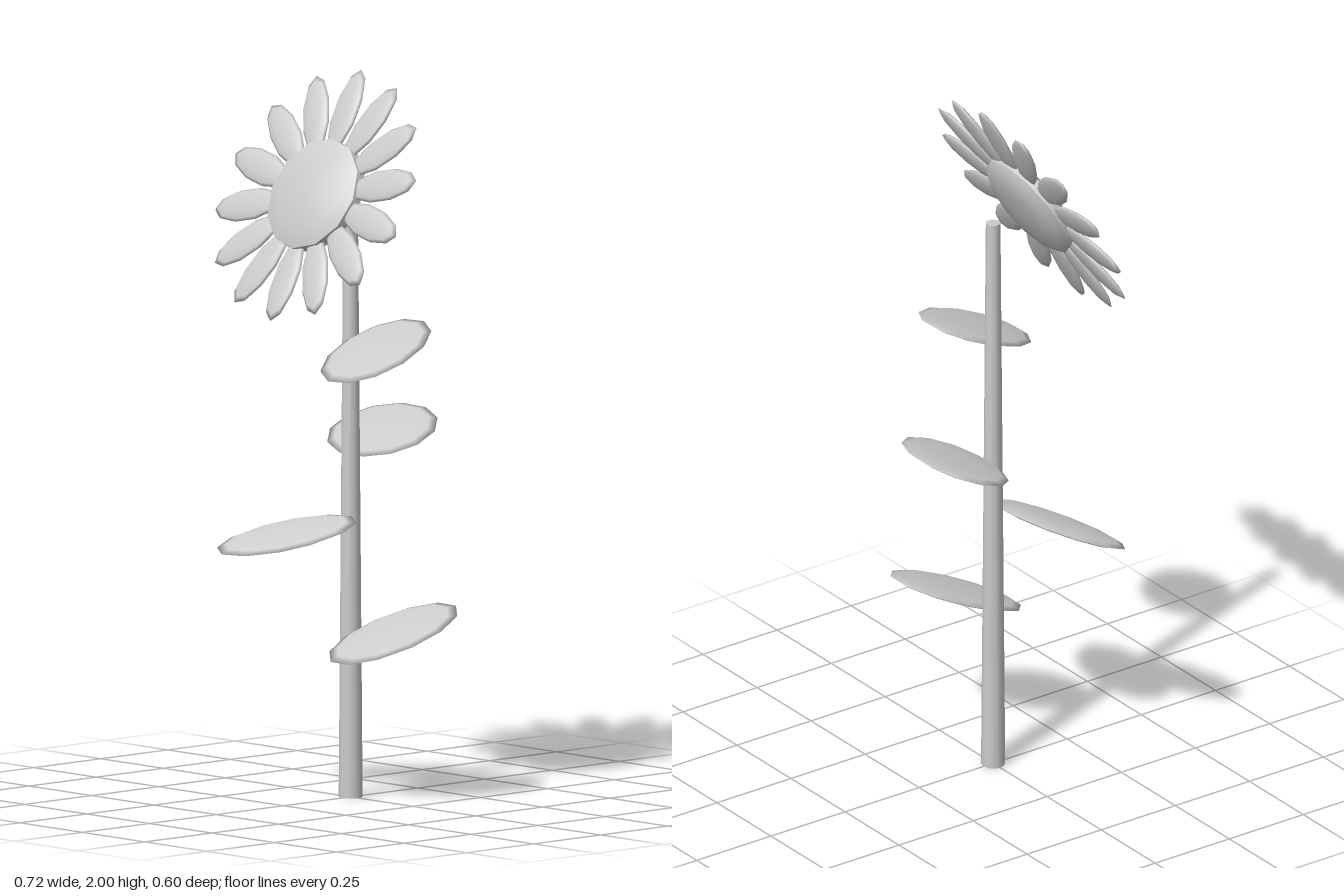
import * as THREE from 'three';
import { toCreasedNormals } from 'three/addons/utils/BufferGeometryUtils.js';

const material = new THREE.MeshStandardMaterial({ color: 0xcccccc });

function addMesh(parent, name, geometry) {
  const mesh = new THREE.Mesh(geometry, material);
  mesh.name = name;
  parent.add(mesh);
  return mesh;
}

// Thin lens with an elliptical outline lying in the xz plane
function lens(halfLength, halfWidth, halfThickness, sides) {
  return new THREE.SphereGeometry(1, sides, 6).scale(halfLength, halfThickness, halfWidth);
}

export function createModel() {
  const flower = new THREE.Group();
  flower.name = 'sunflower';

  // Tapered stem
  const stem = addMesh(flower, 'stem', new THREE.CylinderGeometry(0.02, 0.033, 1.65, 10));
  stem.position.y = 0.825;

  // Leaves: centre, half length, half width, heading from +x towards +z (degrees)
  const leaves = [
    [0.16, 0.465, -0.01, 0.185, 0.138, -69],
    [-0.095, 0.725, 0.15, 0.197, 0.1, -32],
    [-0.05, 0.99, -0.165, 0.193, 0.137, 13],
    [0.16, 1.25, 0.055, 0.18, 0.145, 68],
  ];
  for (const [x, y, z, length, width, heading] of leaves) {
    const geometry = lens(length, width, 0.014, 12);
    geometry.rotateY(-THREE.MathUtils.degToRad(heading));
    geometry.scale(1, 1, 1.07); // keeps the plan outline after tilting
    const leaf = addMesh(flower, 'leaf', geometry);
    leaf.position.set(x, y, z);
    leaf.rotation.x = 0.375;
  }

  // Flower head, tilted to look forward and up
  const head = new THREE.Group();
  head.name = 'flowerHead';
  head.position.set(0, 1.67, 0.13);
  head.rotation.x = -0.475;
  flower.add(head);

  // Ring of petals
  const petalCount = 14;
  const petalGeometry = lens(0.122, 0.048, 0.012, 10);
  petalGeometry.rotateX(Math.PI / 2).translate(0.249, 0, 0);
  for (let i = 0; i < petalCount; i++) {
    const petal = addMesh(head, 'petal', petalGeometry);
    petal.rotation.z = Math.PI / 2 + (i / petalCount) * Math.PI * 2;
  }

  // Seed disc: domed back, bevelled front with a flat cap
  const profile = [
    [0, -0.045], [0.08, -0.041], [0.14, -0.031], [0.164, -0.014],
    [0.162, 0.014], [0.115, 0.034], [0, 0.038],
  ].map(([r, h]) => new THREE.Vector2(r, h));
  const disc = new THREE.LatheGeometry(profile, 12);
  disc.rotateX(Math.PI / 2);
  addMesh(head, 'seedDisc', toCreasedNormals(disc, 0.75));

  return flower;
}
